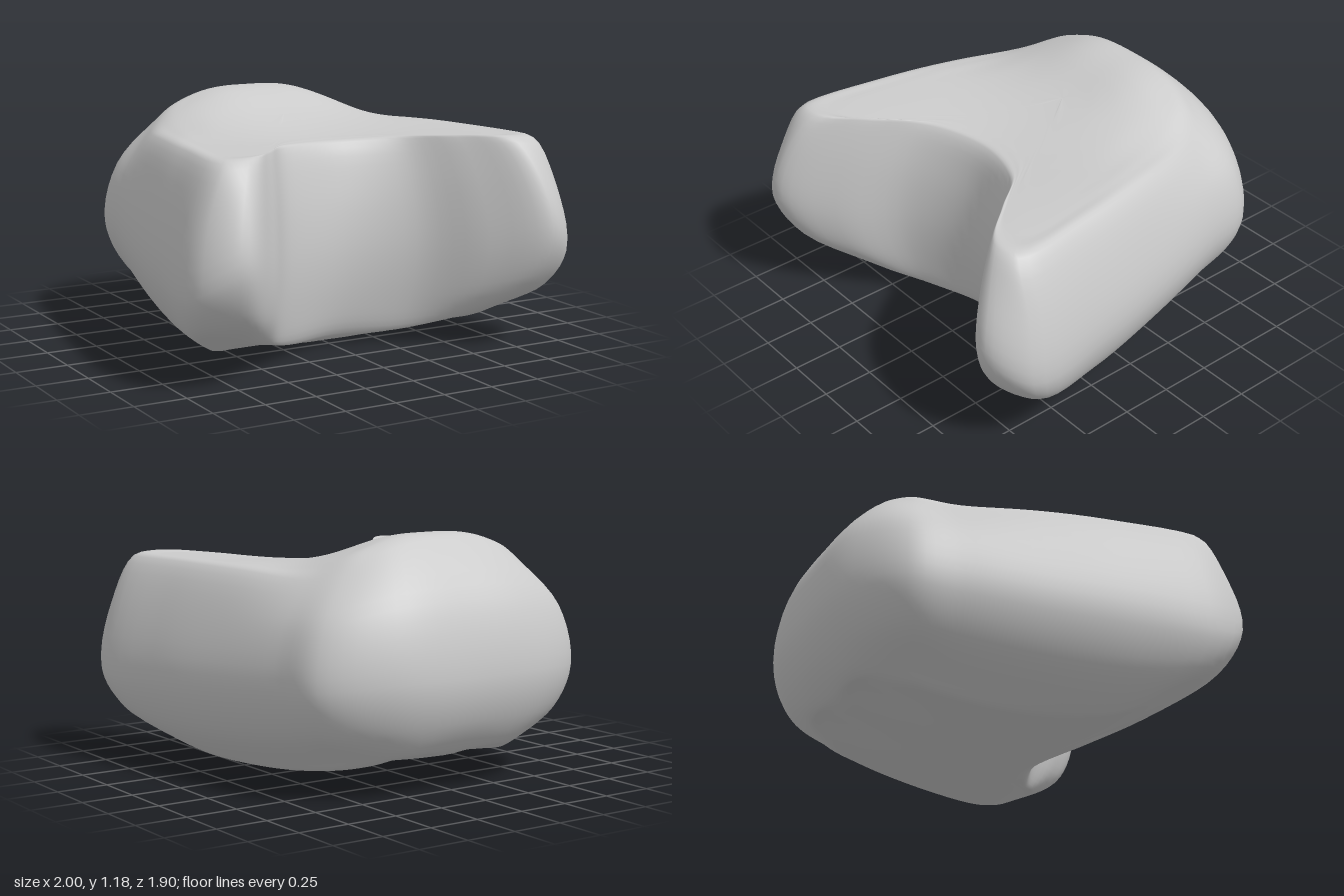
import * as THREE from 'three';

// Half outline from the notch centre round the left arm to the back:
// top rim, widest line and bottom rim, each as x, y, z
const ribs = [
  [[0, 0.98, 0.28], [0, 0.5, 0.38], [0, 0.06, 0.3]],
  [[0.3, 0.99, 0.37], [0.34, 0.5, 0.495], [0.3, 0.07, 0.4]],
  [[0.5, 1.01, 0.59], [0.575, 0.5, 0.76], [0.5, 0.13, 0.55]],
  [[0.68, 1.02, 0.77], [0.8, 0.57, 0.95], [0.66, 0.17, 0.62]],
  [[0.82, 1.01, 0.75], [0.985, 0.45, 0.8], [0.79, 0.17, 0.56]],
  [[0.79, 1.01, 0.32], [0.95, 0.45, 0.34], [0.68, 0.075, 0.32]],
  [[0.71, 1.0, -0.1], [0.87, 0.47, -0.1], [0.59, 0.085, -0.1]],
  [[0.6, 0.985, -0.47], [0.79, 0.5, -0.48], [0.53, 0.14, -0.46]],
  [[0.5, 1.02, -0.62], [0.73, 0.52, -0.74], [0.49, 0.18, -0.64]],
  [[0.28, 1.12, -0.66], [0.43, 0.55, -0.92], [0.32, 0.19, -0.76]],
  [[0, 1.15, -0.66], [0, 0.55, -0.95], [0, 0.2, -0.79]],
].map((rib) => rib.map((p) => new THREE.Vector3(...p)));

const { lerp, smoothstep } = THREE.MathUtils;
const bell = (v, centre, width) => Math.exp(-(((v - centre) / width) ** 2));

// Seat surface: nearly level, with a raised hump at the back and soft back sides
function topHeight(x, z) {
  const across = Math.abs(x);
  const side = 0.03 * smoothstep(across, 0, 0.7);
  const back = 0.03 * smoothstep(-z, -0.3, 0.2) * bell(x, 0, 0.6);
  const fall = 0.03 * smoothstep(across, 0.4, 0.65) * smoothstep(-z, -0.1, 0.45);
  const hump = bell(z, -0.57, z > -0.57 ? 0.33 : 0.27) * Math.exp(-((across / 0.45) ** 3));
  return 0.99 + side + back - fall + 0.155 * hump;
}

// Underside: a shallow keel, with two short grooves near the back
function bottomHeight(x, z) {
  const d = z - 0.1;
  const keel = 0.04 * Math.exp(-((x / 0.3) ** 4)) * bell(z, 0.1, 0.3);
  const groove = 0.04 * bell(Math.abs(x), 0.2, 0.09) * bell(z, -0.62, 0.22);
  return 0.04 + (d > 0 ? 0.5 : 0.18) * d * d - keel + groove;
}

// Move between two rim points, with separate amounts across and down
const between = (a, b, across, down) => new THREE.Vector3(
  lerp(a.x, b.x, across), lerp(a.y, b.y, down), lerp(a.z, b.z, across));

function cushionGeometry(columns, rows) {
  const axisZ = -0.2;

  // Closed ring through one point per rib, mirrored to the other side
  const ring = (pick) => {
    const half = ribs.map(pick);
    const mirror = half.slice(1, -1).reverse().map((p) => new THREE.Vector3(-p.x, p.y, p.z));
    const curve = new THREE.CatmullRomCurve3([...half, ...mirror], true, 'centripetal');
    return Array.from({ length: columns }, (_, j) => curve.getPoint(j / columns));
  };
  // Shrink a ring towards the middle and lay it on a height rule
  const inset = (points, s, height) => points.map((p) => {
    const x = p.x * s, z = axisZ + (p.z - axisZ) * s;
    return new THREE.Vector3(x, height(x, z), z);
  });

  const top = ring((r) => r[0]);
  const bottom = ring((r) => r[2]);
  const steps = [0, 0.15, 0.3, 0.45, 0.6, 0.75, 0.88];
  const levels = [
    ...steps.map((s) => inset(top, s, topHeight)),
    top,
    // The upper wall is fuller round the back than round the arms
    ring((r) => between(r[0], r[1], r[1].z < -0.4 ? 0.75 : 0.7, 0.43)),
    ring((r) => r[1]),
    ring((r) => between(r[1], r[2], 0.33, 0.6)),
    bottom,
    ...steps.toReversed().map((s) => inset(bottom, s, bottomHeight)),
  ];

  // Run a curve down each column and join neighbouring columns
  const positions = [], index = [];
  for (let j = 0; j < columns; j++) {
    const column = new THREE.CatmullRomCurve3(levels.map((l) => l[j]), false, 'centripetal');
    const next = (j + 1) % columns;
    for (let i = 0; i <= rows; i++) {
      positions.push(...column.getPoint(i / rows).toArray());
      if (i === rows) continue;
      const a = j * (rows + 1) + i, d = next * (rows + 1) + i;
      if (i < rows - 1) index.push(a, a + 1, d + 1);
      else index.push(a, a + 1, d);
      if (i > 0 && i < rows - 1) index.push(a, d + 1, d);
    }
  }
  const geometry = new THREE.BufferGeometry();
  geometry.setAttribute('position', new THREE.Float32BufferAttribute(positions, 3));
  geometry.setIndex(index);
  geometry.computeVertexNormals();
  return geometry;
}

export function createModel() {
  const group = new THREE.Group();
  group.name = 'cushion';
  const body = new THREE.Mesh(
    cushionGeometry(120, 90),
    new THREE.MeshStandardMaterial({ color: 0xcccccc }));
  body.name = 'cushionBody';
  group.add(body);
  return group;
}
